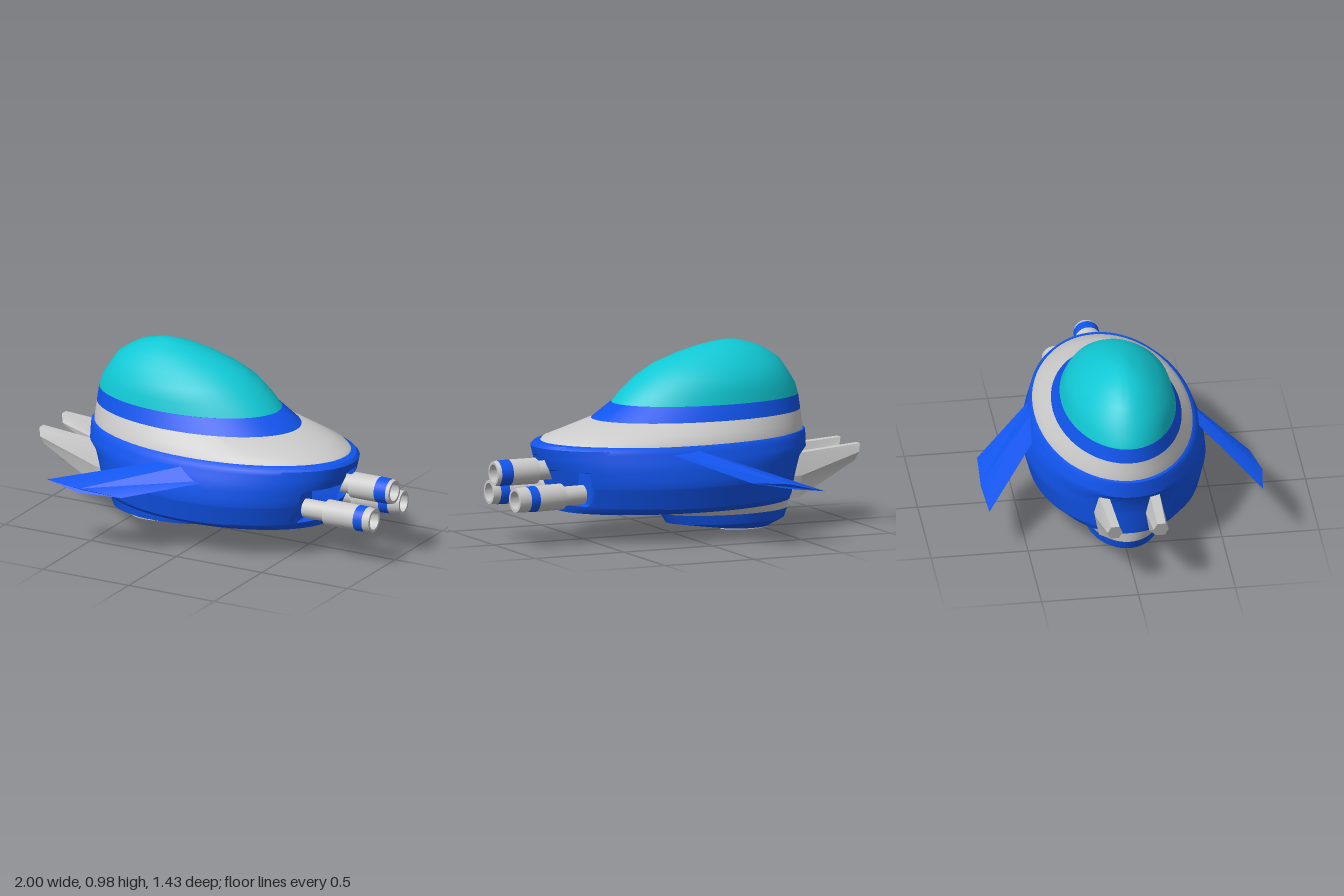
import * as THREE from 'three';
import { toCreasedNormals } from 'three/addons/utils/BufferGeometryUtils.js';

const V = (x, y, z) => new THREE.Vector3(x, y, z);
const material = (color) => new THREE.MeshStandardMaterial({ color });
const grey = material(0xcccccc);
const blue = material(0x1155ee);
const teal = material(0x10c8d4);

function part(name, geometry, mat, crease = 0.65) {
  const mesh = new THREE.Mesh(toCreasedNormals(geometry, crease), mat);
  mesh.name = name;
  return mesh;
}

// Skins a list of closed loops of points; both ends are capped with fans.
function loft(loops) {
  const n = loops[0].length;
  const points = loops.flat();
  const index = [];
  for (let i = 0; i < loops.length - 1; i++) {
    for (let j = 0; j < n; j++) {
      const a = i * n + j, b = i * n + (j + 1) % n;
      index.push(a, a + n, b, a + n, b + n, b);
    }
  }
  [0, loops.length - 1].forEach((i) => {
    const centre = loops[i].reduce((s, p) => s.add(p), V(0, 0, 0)).divideScalar(n);
    const c = points.push(centre) - 1;
    for (let j = 0; j < n; j++) {
      const a = i * n + j, b = i * n + (j + 1) % n;
      if (i === 0) index.push(c, a, b);
      else index.push(c, b, a);
    }
  });
  // Turn the faces outward if the loops ran the other way
  let volume = 0;
  for (let k = 0; k < index.length; k += 3) {
    volume += points[index[k]].dot(points[index[k + 1]].clone().cross(points[index[k + 2]]));
  }
  if (volume < 0) index.reverse();
  const geometry = new THREE.BufferGeometry().setFromPoints(points);
  geometry.setIndex(index);
  return geometry;
}

// Horizontal ellipse from [height, nose x, tail x, half width]
function ellipse([y, x0, x1, w], n = 64, zc = 0.005) {
  return Array.from({ length: n }, (_, j) => {
    const t = (j / n) * Math.PI * 2;
    return V((x0 + x1) / 2 + Math.cos(t) * (x1 - x0) / 2, y, zc + Math.sin(t) * w);
  });
}
const shell = (name, rows, mat) => part(name, loft(rows.map((r) => ellipse(r))), mat);

// Main hull, with recesses pressed into the tail for the thrusters
function makeHull() {
  const profile = [
    [0.155, -0.65, 0.635, 0.39], [0.185, -0.655, 0.645, 0.435], [0.3, -0.675, 0.695, 0.466],
    [0.38, -0.70, 0.725, 0.458], [0.42, -0.735, 0.745, 0.447], [0.49, -0.735, 0.765, 0.42],
    [0.507, -0.735, 0.75, 0.402], [0.515, -0.71, 0.69, 0.385],
  ];
  const at = (y) => {
    const k = Math.max(1, profile.findIndex((p) => p[0] >= y));
    const a = profile[k - 1], b = profile[k];
    const t = (y - a[0]) / (b[0] - a[0]);
    return a.map((v, i) => v + (b[i] - v) * t);
  };
  const heights = [0.155, 0.165, 0.185, 0.195, 0.205, 0.24, 0.28, 0.29, 0.3, 0.34, 0.37, 0.38,
    0.42, 0.44, 0.45, 0.47, 0.49, 0.507, 0.515];
  const loops = heights.map((y) => ellipse(at(y), 128, 0.01));
  loops.flat().forEach((p) => {
    const side = Math.abs(p.z);
    if (p.x < 0.4) return;
    if (side > 0.07 && side < 0.25 && p.y > 0.2 && p.y < 0.375) p.x = Math.min(p.x, 0.56);
    if (side < 0.05 && p.y > 0.285 && p.y < 0.445) p.x = Math.min(p.x, 0.64);
  });
  return part('hull', loft(loops), blue);
}

// Swept fin: diamond section at the root, sharp bevelled tip
function makeWing(name, leadRoot, trailRoot, leadTip, midTip, trailTip) {
  const section = (lead, mid, trail, h) => [
    lead, mid.clone().add(V(0, h, 0)), trail, mid.clone().add(V(0, -h, 0)),
  ];
  const rootMid = leadRoot.clone().lerp(trailRoot, 0.5);
  return part(name, loft([
    section(leadRoot, rootMid, trailRoot, 0.035),
    section(leadTip, midTip, trailTip, 0.012),
  ]), blue, 0.3);
}

// Tapered nose prong with a hexagonal section
function makeProng(name, side) {
  const section = (xTop, top, xLow, low, z0, z1) => {
    const mid = (top + low) / 2, xm = (xTop + xLow) / 2, inset = (z1 - z0) * 0.22;
    return [
      [xTop, top, z0 + inset], [xTop, top, z1 - inset], [xm, mid, z1],
      [xLow, low, z1 - inset], [xLow, low, z0 + inset], [xm, mid, z0],
    ].map(([x, y, z]) => V(x, y, side * z));
  };
  return part(name, loft([
    section(-1, 0.415, -0.97, 0.33, 0.08, 0.157),
    section(-0.66, 0.39, -0.65, 0.16, 0.085, 0.175),
    section(-0.5, 0.38, -0.5, 0.17, 0.085, 0.175),
  ]), grey, 0.3);
}

// Thruster pointing along +x, with a coloured band and a hollow mouth
function makeThruster(name, [x, y, z], length, band, yaw = 0) {
  const group = new THREE.Group();
  group.name = name;
  const lathe = (label, rows, mat) => {
    const points = rows.map(([r, h]) => new THREE.Vector2(r, h));
    const geometry = new THREE.LatheGeometry(points, 28).rotateZ(-Math.PI / 2);
    group.add(part(label, geometry, mat));
  };
  const [b0, b1] = band;
  lathe('thrusterBody', [[0, -0.15], [0.05, -0.15], [0.05, 0], [0.067, 0], [0.067, b0]], grey);
  lathe('thrusterBand', [[0.067, b0], [0.065, b1]], blue);
  lathe('thrusterMouth', [[0.065, b1], [0.061, length], [0.047, length],
    [0.044, length - 0.1], [0, length - 0.1]], grey);
  group.position.set(x, y, z);
  group.rotation.y = yaw;
  return group;
}

export function createModel() {
  const model = new THREE.Group();
  model.name = 'spaceship';

  // Canopy, its rim and the sloping deck
  model.add(
    shell('canopy', [
      [0.685, -0.70, 0.32, 0.292], [0.74, -0.684, 0.27, 0.279], [0.81, -0.64, 0.185, 0.258],
      [0.87, -0.60, 0.09, 0.2], [0.915, -0.535, -0.03, 0.15], [0.945, -0.48, -0.13, 0.105],
      [0.965, -0.41, -0.215, 0.055], [0.975, -0.37, -0.28, 0.03],
    ], teal),
    shell('canopyRim', [[0.61, -0.71, 0.43, 0.328], [0.687, -0.70, 0.32, 0.293]], blue),
    shell('deck', [
      [0.505, -0.72, 0.72, 0.403], [0.525, -0.72, 0.7, 0.395],
      [0.555, -0.716, 0.6, 0.372], [0.61, -0.71, 0.43, 0.328],
    ], grey),
    makeHull(),
  );

  // Belly pod
  model.add(
    shell('bellyCollar', [[0.1, -0.645, 0.05, 0.2], [0.157, -0.65, 0.21, 0.25]], grey),
    shell('bellyPod', [
      [0.005, -0.54, -0.28, 0.08], [0.05, -0.625, 0.02, 0.19], [0.1, -0.645, 0.05, 0.2],
    ], blue),
    shell('bellyPlate', [[0, -0.54, -0.28, 0.08], [0.006, -0.54, -0.28, 0.08]], grey),
  );

  // Wings sit at slightly different angles
  model.add(
    makeWing('frontWing', V(-0.08, 0.48, 0.39), V(0.2, 0.42, 0.4),
      V(-0.65, 0.365, 0.69), V(-0.45, 0.345, 0.715), V(-0.22, 0.335, 0.68)),
    makeWing('backWing', V(-0.08, 0.44, -0.39), V(0.2, 0.475, -0.39),
      V(-0.54, 0.275, -0.705), V(-0.33, 0.315, -0.72), V(-0.12, 0.345, -0.71)),
  );

  // Nose prongs and tail thrusters
  model.add(
    makeProng('frontProng', 1),
    makeProng('backProng', -1),
    makeThruster('upperThruster', [0.765, 0.368, 0.005], 0.235, [0.15, 0.215]),
    makeThruster('frontThruster', [0.69, 0.25, 0.145], 0.27, [0.18, 0.23]),
    makeThruster('backThruster', [0.69, 0.25, -0.145], 0.27, [0.155, 0.205], 0.08),
  );
  return model;
}
